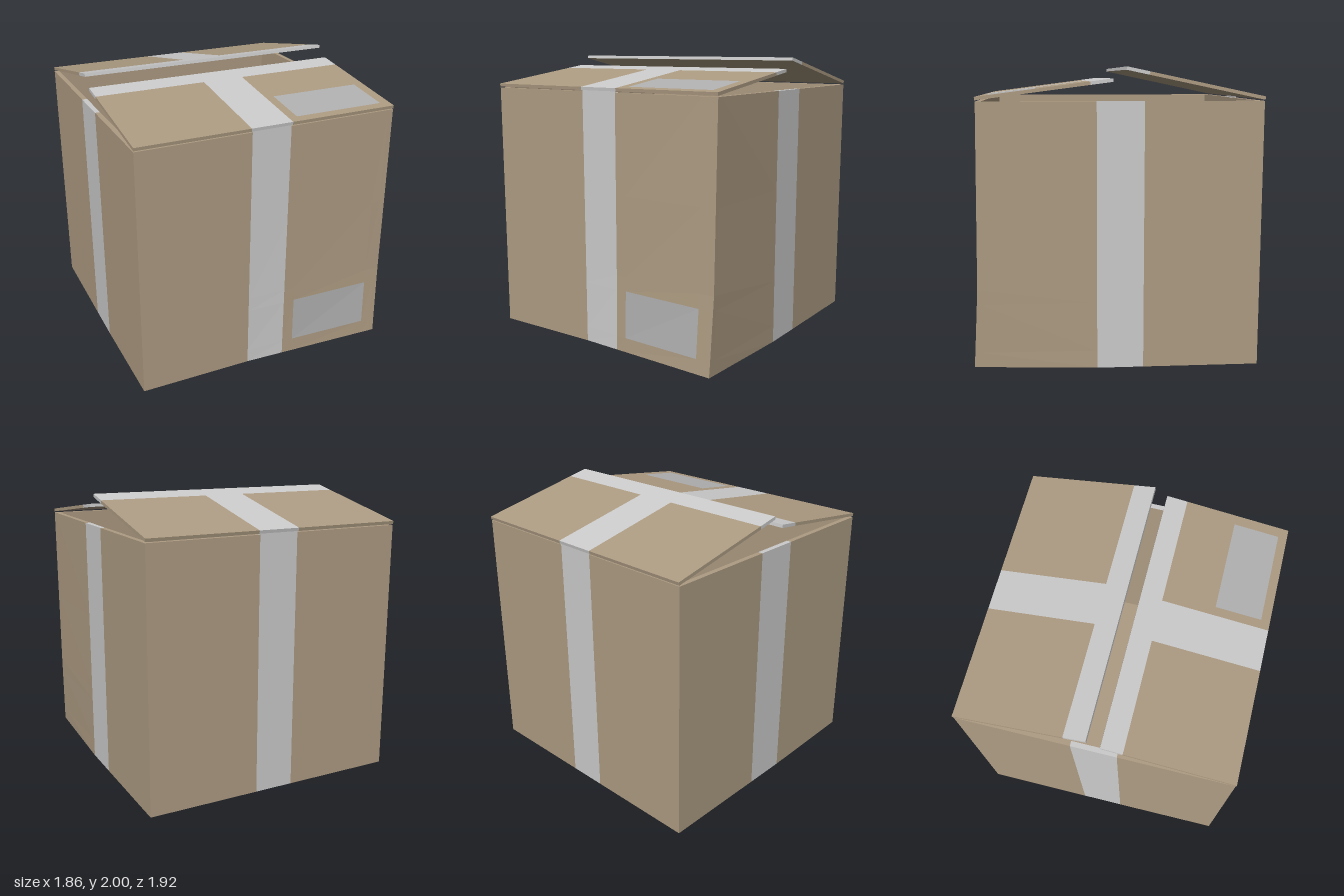
import * as THREE from 'three';

const paints = {
  cardboard: new THREE.MeshStandardMaterial({ color: 0xae9c83 }),
  tape: new THREE.MeshStandardMaterial({ color: 0xcccccc }),
  label: new THREE.MeshStandardMaterial({ color: 0xb1b1b1 }),
};
const clamp = (t) => THREE.MathUtils.clamp(t, 0, 1);
const between = (t, a, b) => t > a && t < b;

// Box cut into cells along three axes. place() maps a cell corner into space;
// paint(axis, sign, centre) names the cell's paint, or null to leave it open.
function patchedBox(name, cuts, place, inward, paint) {
  const lists = {};
  for (let i = 0; i < 3; i++) {
    const j = (i + 1) % 3, k = (i + 2) % 3;
    for (const sign of [-1, 1]) {
      const level = sign < 0 ? cuts[i][0] : cuts[i].at(-1);
      const point = (u, v) => {
        const p = [0, 0, 0];
        p[i] = level; p[j] = u; p[k] = v;
        return p;
      };
      for (let a = 0; a + 1 < cuts[j].length; a++) {
        for (let b = 0; b + 1 < cuts[k].length; b++) {
          const [u0, u1] = [cuts[j][a], cuts[j][a + 1]];
          const [v0, v1] = [cuts[k][b], cuts[k][b + 1]];
          const key = paint(i, sign, point((u0 + u1) / 2, (v0 + v1) / 2));
          if (!key) continue;
          const quad = [point(u0, v0), point(u1, v0), point(u1, v1), point(u0, v1)].map((p) => place(...p));
          if ((sign < 0) !== inward) quad.reverse();
          for (const n of [0, 1, 2, 0, 2, 3]) (lists[key] ??= []).push(...quad[n]);
        }
      }
    }
  }
  const group = new THREE.Group();
  group.name = name;
  for (const key in lists) {
    const geometry = new THREE.BufferGeometry();
    geometry.setAttribute('position', new THREE.Float32BufferAttribute(lists[key], 3));
    geometry.computeVertexNormals();
    const mesh = new THREE.Mesh(geometry, paints[key]);
    mesh.name = name + key[0].toUpperCase() + key.slice(1);
    group.add(mesh);
  }
  return group;
}

// The bottom front edge lifts a little and its left corner bulges forward.
function bend(x, y, z) {
  const front = clamp((z - 0.14) / 0.77);
  const side = clamp((x + 0.14) / 1.07);
  const bulge = y > 0.55 ? (0.017 * (1.78 - y)) / 1.23 : 0.017 + (0.031 * (0.55 - y)) / 0.55;
  return [
    x - 0.4 * bulge * side * front,
    y + 0.02 * front * clamp(1 - y / 0.12),
    z + bulge * side * front,
  ];
}

// Flap from hinge to free edge, both given as [y, z] of the underside.
function flap(name, hinge, free, hasLabel) {
  const dy = free[0] - hinge[0], dz = free[1] - hinge[1];
  const length = Math.hypot(dy, dz), facing = Math.sign(dz);
  const place = (x, h, s) => [
    x,
    hinge[0] + s * dy + (h * Math.abs(dz)) / length,
    hinge[1] + s * dz - (h * dy * facing) / length,
  ];
  const cuts = [[-0.93, -0.148, 0.148, 0.21, 0.86, 0.93], [0, 0.022], [0, 0.07, 0.43, 0.835, 1]];
  return patchedBox(name, cuts, place, facing < 0, (axis, sign, [x, , s]) => {
    if (axis === 1 && sign < 0) return 'cardboard';
    if (s > 0.835 || Math.abs(x) < 0.148) return 'tape';
    const onLabel = hasLabel && axis === 1 && between(x, 0.21, 0.86) && between(s, 0.07, 0.43);
    return onLabel ? 'label' : 'cardboard';
  });
}

export function createModel() {
  const model = new THREE.Group();
  model.name = 'cardboardBox';

  // Outer walls, bottom and rim
  const outerCuts = [
    [-0.93, -0.895, -0.14, 0.14, 0.22, 0.82, 0.895, 0.93],
    [0, 0.12, 0.45, 0.55, 1.1, 1.78],
    [-0.95, -0.915, -0.17, 0.14, 0.875, 0.91],
  ];
  model.add(patchedBox('outerWalls', outerCuts, bend, false, (axis, sign, [x, y, z]) => {
    if (axis === 1 && sign > 0 && Math.abs(x) < 0.895 && between(z, -0.915, 0.875)) return null;
    const acrossX = axis !== 0 && Math.abs(x) < 0.14;
    const acrossZ = axis !== 2 && between(z, -0.17, 0.14);
    if (acrossX || acrossZ) return 'tape';
    const onLabel = axis === 2 && sign > 0 && between(x, 0.22, 0.82) && between(y, 0.12, 0.45);
    return onLabel ? 'label' : 'cardboard';
  }));

  // Inside of the box
  const innerCuts = [[-0.895, -0.14, 0.895], [0.035, 0.55, 1.78], [-0.915, 0.14, 0.875]];
  model.add(patchedBox('innerWalls', innerCuts, bend, true,
    (axis, sign) => (axis === 1 && sign > 0 ? null : 'cardboard')));

  // Lid flaps
  model.add(flap('frontFlap', [1.787, 0.912], [1.902, 0.032], true));
  model.add(flap('backFlap', [1.787, -0.953], [1.978, -0.05], false));

  // Tape that hinges the flaps to the walls
  for (const [name, z] of [['frontHingeTape', 0.905], ['backHingeTape', -0.945]]) {
    const hinge = new THREE.Mesh(new THREE.BoxGeometry(0.28, 0.014, 0.01), paints.tape);
    hinge.name = name;
    hinge.position.set(0, 1.785, z);
    model.add(hinge);
  }
  return model;
}
